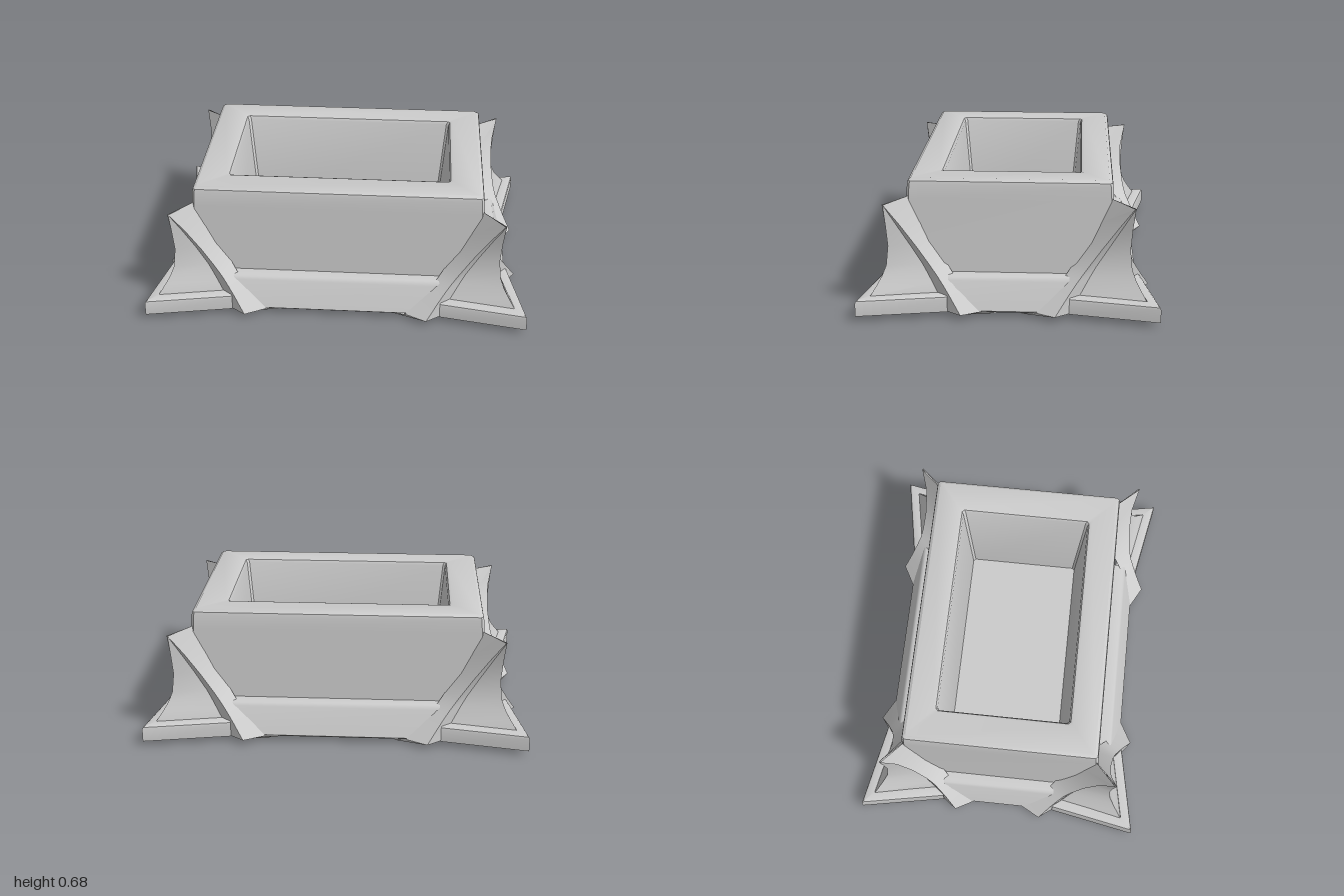
import * as THREE from 'three';
import { toCreasedNormals } from 'three/addons/utils/BufferGeometryUtils.js';

const material = new THREE.MeshStandardMaterial({ color: 0xcccccc, side: THREE.DoubleSide });

// Skin of quads between rows of points; rows run upwards, points counter-clockwise from above
function loft(name, rows, closed, crease = 0.6) {
  const pos = [];
  const tri = (a, b, c) => {
    const t = new THREE.Triangle(...[a, b, c].map((p) => new THREE.Vector3(...p)));
    if (t.getArea() > 1e-8) pos.push(...a, ...b, ...c);
  };
  for (let j = 0; j < rows.length - 1; j++) {
    const lo = rows[j], hi = rows[j + 1], n = lo.length;
    for (let i = 0; i < (closed ? n : n - 1); i++) {
      const k = (i + 1) % n;
      tri(lo[i], lo[k], hi[k]);
      tri(lo[i], hi[k], hi[i]);
    }
  }
  const geometry = new THREE.BufferGeometry();
  geometry.setAttribute('position', new THREE.Float32BufferAttribute(pos, 3));
  const mesh = new THREE.Mesh(toCreasedNormals(geometry, crease), material);
  mesh.name = name;
  return mesh;
}

// Rectangle with slightly cut corners
function ring([hx, hz, y, c = 0.012]) {
  return [
    [hx - c, y, hz], [hx, y, hz - c], [hx, y, -hz + c], [hx - c, y, -hz],
    [-hx + c, y, -hz], [-hx, y, -hz + c], [-hx, y, hz - c], [-hx + c, y, hz],
  ];
}

// Legs and feet are symmetric about the line x = z + SHIFT
const SHIFT = 0.245;
const reflect = ([x, y, z]) => [z + SHIFT, y, x - SHIFT];
const bothSides = (half) => [...half, ...half.slice(0, -1).reverse().map(reflect)];

// Per height: wall contact, rib edge, panel start, corner ridge (x, z each)
const legSections = [
  [0.03, 0.37, 0.66, 0.48, 0.72, 0.56, 0.66, 0.95, 0.70],
  [0.11, 0.44, 0.62, 0.535, 0.675, 0.60, 0.625, 0.94, 0.69],
  [0.16, 0.49, 0.595, 0.57, 0.65, 0.628, 0.61, 0.905, 0.658],
  [0.20, 0.53, 0.57, 0.60, 0.63, 0.65, 0.60, 0.88, 0.635],
  [0.25, 0.57, 0.533, 0.637, 0.615, 0.68, 0.585, 0.86, 0.615],
  [0.35, 0.64, 0.525, 0.71, 0.60, 0.745, 0.575, 0.85, 0.605],
  [0.46, 0.695, 0.52, 0.79, 0.60, 0.81, 0.59, 0.858, 0.613],
  [0.57, 0.75, 0.505, 0.866, 0.626, 0.866, 0.626, 0.87, 0.625],
];

function legRows() {
  return legSections.map(([y, ...p], j) => {
    const top = j === legSections.length - 1;
    return bothSides([0, 2, 4, 6].map((i) => [p[i], top && i === 0 ? 0.585 : y, p[i + 1]]));
  });
}

// Foot moulding: inset and height around its section
function footRows() {
  const section = [
    [0.16, 0.006], [0, 0.028], [0, 0.095], [0.004, 0.106], [0.014, 0.112],
    [0.065, 0.114], [0.065, 0.03], [0.16, 0.006],
  ];
  return section.map(([d, y]) =>
    bothSides([[0.55 + 0.2 * d, y, 0.67 - 0.8 * d], [1 - d, y, 0.75 - d + 0.005]]));
}

// Toe of each rib, tucked under the basin
function toeRows() {
  return [
    [[0.29, 0.003, 0.54], [0.45, 0.003, 0.54]],
    [[0.31, 0.006, 0.62], [0.45, 0.012, 0.66]],
    [[0.37, 0.03, 0.66], [0.48, 0.03, 0.72]],
  ];
}

function createCorner(sx, sz) {
  const corner = new THREE.Group();
  corner.name = `${sz > 0 ? 'front' : 'back'}${sx > 0 ? 'Left' : 'Right'}Leg`;
  const place = (rows) => rows.map((row) => {
    const r = row.map(([x, y, z]) => [x * sx, y, z * sz]);
    return sx * sz < 0 ? r.reverse() : r;
  });
  corner.add(loft('flaredLeg', place(legRows()), false, 0.4));
  corner.add(loft('footMoulding', place(footRows()), false));
  corner.add(loft('frontToe', place(toeRows()), false));
  corner.add(loft('sideToe', place(toeRows().map((r) => r.map(reflect).reverse())), false));
  return corner;
}

// Sloped skirt along one wall
function createSkirt(name, halfLength, distance, angle) {
  const profile = [
    [-0.02, 0.04], [0.1, 0.025], [0.112, 0.035], [0.06, 0.175], [0.052, 0.19], [0.04, 0.197], [-0.02, 0.2],
  ];
  const rows = profile.map(([d, y]) => [[-halfLength, y, distance + d], [halfLength, y, distance + d]]);
  const skirt = loft(name, rows, false);
  skirt.rotation.y = angle;
  return skirt;
}

export function createModel() {
  const model = new THREE.Group();
  model.name = 'footedTrough';

  // Basin: underside, outer wall, rounded rim, inner wall, floor
  const basin = [
    [0, 0, 0, 0], [0.812, 0.547, 0], [0.762, 0.52, 0.57], [0.758, 0.516, 0.645],
    [0.754, 0.512, 0.662], [0.738, 0.496, 0.675], [0.6, 0.37, 0.675],
    [0.586, 0.356, 0.67], [0.578, 0.348, 0.655], [0.53, 0.302, 0.13], [0, 0, 0.13, 0],
  ];
  model.add(loft('basin', basin.map(ring), true));

  // Skirts between the legs
  model.add(createSkirt('frontSkirt', 0.55, 0.545, 0));
  model.add(createSkirt('backSkirt', 0.55, 0.545, Math.PI));
  model.add(createSkirt('leftSkirt', 0.305, 0.8, Math.PI / 2));
  model.add(createSkirt('rightSkirt', 0.305, 0.8, -Math.PI / 2));

  // Four flared corner legs
  for (const sx of [1, -1]) for (const sz of [1, -1]) model.add(createCorner(sx, sz));
  return model;
}
